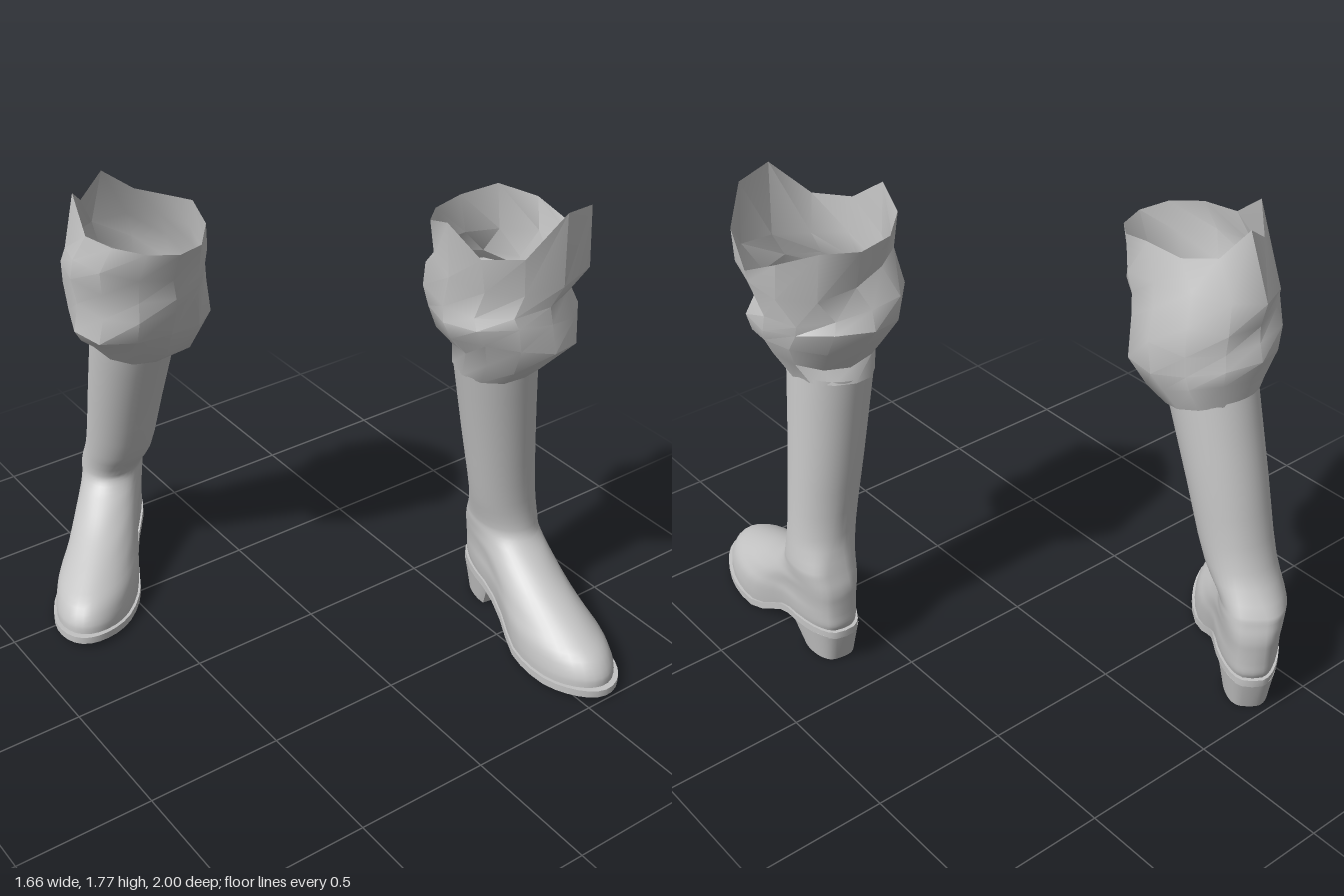
import * as THREE from 'three';
import { toCreasedNormals } from 'three/addons/utils/BufferGeometryUtils.js';

const { lerp, smoothstep } = THREE.MathUtils;
const SEG = 40;

// Skins a stack of closed rings (arrays of Vector3, bottom to top).
function loft(rings) {
  const n = rings[0].length, pos = [], index = [];
  rings.forEach(r => r.forEach(p => pos.push(p.x, p.y, p.z)));
  for (let i = 0; i < rings.length - 1; i++) {
    for (let j = 0; j < n; j++) {
      const k = (j + 1) % n, a = i * n + j, b = i * n + k;
      index.push(a, a + n, b, b, a + n, b + n);
    }
  }
  const g = new THREE.BufferGeometry();
  g.setAttribute('position', new THREE.Float32BufferAttribute(pos, 3));
  g.setIndex(index);
  g.computeVertexNormals();
  return g;
}

// Adds in-between rings along a spline through each column.
function refine(rings, steps) {
  const cols = rings[0].map((_, j) =>
    new THREE.CatmullRomCurve3(rings.map(r => r[j])));
  const total = (rings.length - 1) * steps;
  return Array.from({ length: total + 1 }, (_, i) => cols.map(c => c.getPoint(i / total)));
}

const ringOf = (n, fn) => Array.from({ length: n }, (_, j) => fn(j / n * Math.PI * 2, j));

// Underside of the sole: high at the heel, low at the ball, toe slightly raised.
const soleY = u => 0.125 * (1 - smoothstep(u, 0.2, 0.5)) + 0.02 * smoothstep(u, 0.65, 0.86);

// Foot outline at angle a: distance along the foot and sideways offset.
function outline(a, u0, u1, wBack, wFront, waist) {
  const s = 0.5 + 0.5 * Math.cos(a), sin = Math.sin(a);
  const pinch = 1 - waist * Math.exp(-(((s - 0.4) / 0.16) ** 2));
  const w = Math.sign(sin) * Math.abs(sin) ** (0.65 + 0.35 * s) * lerp(wBack, wFront, s) * pinch;
  return [lerp(u0, u1, s), w];
}

// height, back, front, back width, front width, waist pinch
const FOOT = [
  [0, 0.01, 0.835, 0.112, 0.185, 0.2], [0.04, 0, 0.83, 0.115, 0.185, 0.18],
  [0.1, 0, 0.79, 0.118, 0.175, 0.14], [0.15, 0, 0.71, 0.118, 0.15, 0.1],
  [0.2, 0, 0.6, 0.118, 0.13, 0.05], [0.25, 0, 0.49, 0.118, 0.115, 0],
  [0.3, 0.005, 0.395, 0.118, 0.11, 0], [0.35, 0.015, 0.33, 0.118, 0.113, 0],
  [0.4, 0.025, 0.31, 0.118, 0.115, 0],
];

function makeBoot({ heel, dir, shaft }, mat) {
  const g = new THREE.Group();
  const [dx, dz] = new THREE.Vector2(...dir).normalize().toArray();
  const place = (u, w, y) =>
    new THREE.Vector3(heel[0] + dx * u - dz * w, y, heel[1] + dz * u + dx * w);
  const add = (name, geo) => {
    const m = new THREE.Mesh(geo, mat);
    m.name = name;
    g.add(m);
  };

  // Upper: foot slices followed by the leg tube
  const T = 0.4;
  const rings = FOOT.map(([h, ...o]) => ringOf(SEG, a => {
    const [u, w] = outline(a, ...o), base = soleY(u) + 0.025;
    return place(u, w, base + h * (T - base) / T);
  }));
  for (const [y, cx, cz, r, tx, tz] of shaft) {
    rings.push(ringOf(SEG, a => {
      const x = (dx * Math.cos(a) - dz * Math.sin(a)) * r;
      const z = (dz * Math.cos(a) + dx * Math.sin(a)) * r;
      return new THREE.Vector3(cx + x, y + tx * x + tz * z, cz + z);
    }));
  }
  add('bootUpper', loft(refine(rings, 3)));

  // Welted sole: closed along its centre line, below and above
  const sole = [[0, 0], [1, 0], [1, 0.028], [0, 0.028]].map(([k, h]) => ringOf(SEG, a => {
    const [u, w] = outline(a, -0.006, 0.858, 0.12, 0.196, 0.2);
    return place(u, w * k, soleY(u) + h);
  }));
  add('sole', toCreasedNormals(loft(sole), 0.7));

  // Stacked heel: tapered, with a flat front
  const block = [
    [0, 0.035, 0.27, 0.08, 0.185, 0], [1, 0.035, 0.27, 0.08, 0.185, 0],
    [1, 0, 0.4, 0.105, 0.24, 0.13], [0, 0, 0.4, 0.105, 0.24, 0.13],
  ].map(([k, u0, u1, w, cut, y]) => ringOf(SEG, a => {
    const [u, v] = outline(a, u0, u1, w, w, 0);
    return place(Math.min(u, cut), v * k, Math.min(y, soleY(Math.min(u, cut)) + 0.01));
  }));
  add('heel', toCreasedNormals(loft(block), 0.7));
  return g;
}

// Baggy trouser leg: uneven rings [y, x0, x1, z0, z1, xTilt, zTilt] and a ragged rim.
function makeTrouser({ folds, rim, phase }, mat) {
  const last = folds.length - 1;
  const rings = folds.map(([y, x0, x1, z0, z1, tx = 0, tz = 0], i) => ringOf(12, (a, j) => {
    const mid = i > 0 && i < last;
    const k = mid ? 1 + 0.045 * Math.sin(3 * a + i * 2.1 + phase) : 1;
    const x = Math.cos(a) * (x1 - x0) / 2 * k, z = Math.sin(a) * (z1 - z0) / 2 * k;
    const lift = mid ? 0.022 * Math.sin(2 * a + i * 1.3 + phase) : 0;
    const top = i === last ? rim[j] : y + tx * x + tz * z + lift;
    return new THREE.Vector3((x0 + x1) / 2 + x, top, (z0 + z1) / 2 + z);
  }));
  const m = new THREE.Mesh(toCreasedNormals(loft(rings), 0.6), mat);
  m.name = 'trouserLeg';
  return m;
}

const LEGS = [
  {
    name: 'leftLeg', heel: [0.68, 0.15], dir: [-0.12, 0.99], phase: 0,
    // y, centre x, centre z, radius, tilt
    shaft: [[0.52, 0.635, 0.325, 0.122, 0, 0], [0.8, 0.592, 0.33, 0.133, 0.08, 0],
      [1.12, 0.545, 0.34, 0.148, 0.18, -0.06]],
    folds: [
      [1.11, 0.395, 0.695, 0.185, 0.495, 0.15, -0.06], [1.19, 0.36, 0.73, 0.21, 0.56, 0.05, 0],
      [1.27, 0.31, 0.775, 0.14, 0.63], [1.35, 0.285, 0.785, 0.08, 0.63],
      [1.41, 0.28, 0.77, 0.09, 0.605], [1.51, 0.29, 0.82, 0.13, 0.63],
      [1.6, 0.27, 0.82, 0.11, 0.635],
    ],
    rim: [1.56, 1.65, 1.75, 1.77, 1.63, 1.62, 1.71, 1.66, 1.64, 1.64, 1.66, 1.62],
  },
  {
    name: 'rightLeg', heel: [-0.25, -0.975], dir: [-0.65, 0.76], phase: 2,
    shaft: [[0.52, -0.365, -0.77, 0.125, 0, -0.1], [0.8, -0.372, -0.675, 0.138, 0, -0.22],
      [1.09, -0.38, -0.575, 0.152, 0, -0.28]],
    folds: [
      [1.08, -0.54, -0.215, -0.725, -0.42, 0, -0.28], [1.15, -0.6, -0.175, -0.735, -0.33, 0, -0.2],
      [1.23, -0.645, -0.15, -0.755, -0.25, 0, -0.1], [1.33, -0.645, -0.16, -0.75, -0.22],
      [1.41, -0.65, -0.17, -0.74, -0.205], [1.49, -0.655, -0.195, -0.73, -0.175],
      [1.6, -0.63, -0.215, -0.65, -0.14],
    ],
    rim: [1.63, 1.6, 1.58, 1.585, 1.6, 1.61, 1.61, 1.71, 1.63, 1.7, 1.62, 1.61],
  },
];

export function createModel() {
  const grey = new THREE.MeshStandardMaterial({ color: 0xc4c4c4, side: THREE.DoubleSide });
  grey.name = 'plain grey';
  const model = new THREE.Group();
  model.name = 'bootsAndTrouserLegs';
  for (const spec of LEGS) {
    const leg = makeBoot(spec, grey);
    leg.name = spec.name;
    leg.add(makeTrouser(spec, grey));
    model.add(leg);
  }
  return model;
}
